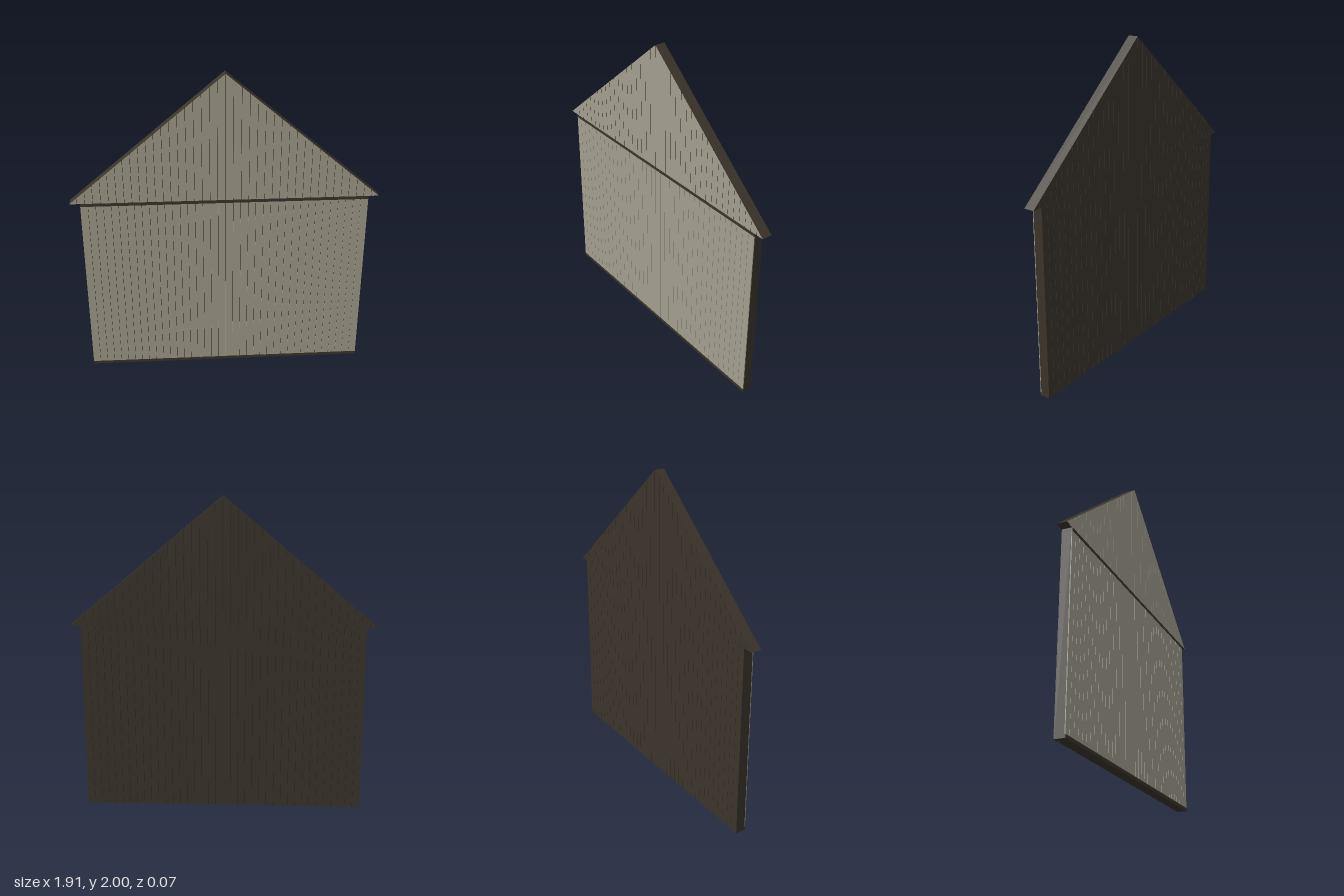
import * as THREE from 'three';

export function createModel() {
  const group = new THREE.Group();
  group.name = 'gableWall';
  const mat = (name, color) => {
    const m = new THREE.MeshStandardMaterial({ color });
    m.name = name;
    return m;
  };
  const paleWood = mat('paleWood', 0xa39e8e);
  const darkWood = mat('darkWood', 0x3b342b);
  const gapShadow = mat('gapShadow', 0x27221c);

  const wallHalf = 0.89, eaveHalf = 0.955, eaveY = 1.2, peakY = 2;
  const gap = 0.002;
  const back = -0.033, coreBack = -0.029, coreFront = 0.027, front = 0.032;

  // Extrudes an outline from z0 to z1; end caps and sides may differ in colour
  function slab(name, points, z0, z1, caps, sides = caps) {
    const shape = new THREE.Shape(points.map(([x, y]) => new THREE.Vector2(x, y)));
    const geo = new THREE.ExtrudeGeometry(shape, { depth: z1 - z0, bevelEnabled: false });
    geo.translate(0, 0, z0);
    const mesh = new THREE.Mesh(geo, [caps, sides]);
    mesh.name = name;
    group.add(mesh);
  }
  const rect = (x0, x1, y0, y1) => [[x0, y0], [x1, y0], [x1, y1], [x0, y1]];

  // Height of the roof slope above a given x
  const slopeY = (x) => peakY - (peakY - eaveY) * Math.abs(x) / eaveHalf;

  // Outline of a vertical gable board cut along the slope
  function gableBoard(x0, x1) {
    const pts = [[x0, eaveY], [x1, eaveY]];
    if (slopeY(x1) > eaveY + 1e-5) pts.push([x1, slopeY(x1)]);
    if (slopeY(x0) > eaveY + 1e-5) pts.push([x0, slopeY(x0)]);
    return pts;
  }

  // Calls build(x0, x1) for each board in an evenly split row
  function boards(half, count, build) {
    const w = 2 * half / count;
    for (let i = 0; i < count; i++) {
      const x0 = -half + i * w;
      build(x0 + (i > 0 ? gap / 2 : 0), x0 + w - (i < count - 1 ? gap / 2 : 0));
    }
  }

  // Solid cores behind the boards
  slab('wallCore', rect(-wallHalf, wallHalf, 0, eaveY), coreBack, coreFront, gapShadow, darkWood);
  slab('gableCore', [[-eaveHalf, eaveY], [eaveHalf, eaveY], [0, peakY]],
    coreBack, coreFront, gapShadow, darkWood);

  // Wall boards, pale in front and dark behind
  boards(wallHalf, 38, (x0, x1) => {
    slab('wallFrontBoard', rect(x0, x1, 0.02, 1.18), coreFront, front, paleWood);
    slab('wallBackBoard', rect(x0, x1, 0, eaveY), back, coreBack, darkWood);
  });

  // Gable boards
  boards(eaveHalf, 40, (x0, x1) => {
    slab('gableFrontBoard', gableBoard(x0, x1), coreFront, front, paleWood, darkWood);
    slab('gableBackBoard', gableBoard(x0, x1), back, coreBack, darkWood);
  });

  // Dark rails along the foot and under the gable
  slab('footRail', rect(-wallHalf, wallHalf, 0, 0.02), coreFront, 0.033, darkWood);
  slab('headRail', rect(-wallHalf, wallHalf, 1.18, eaveY), coreFront, 0.033, darkWood);

  return group;
}
